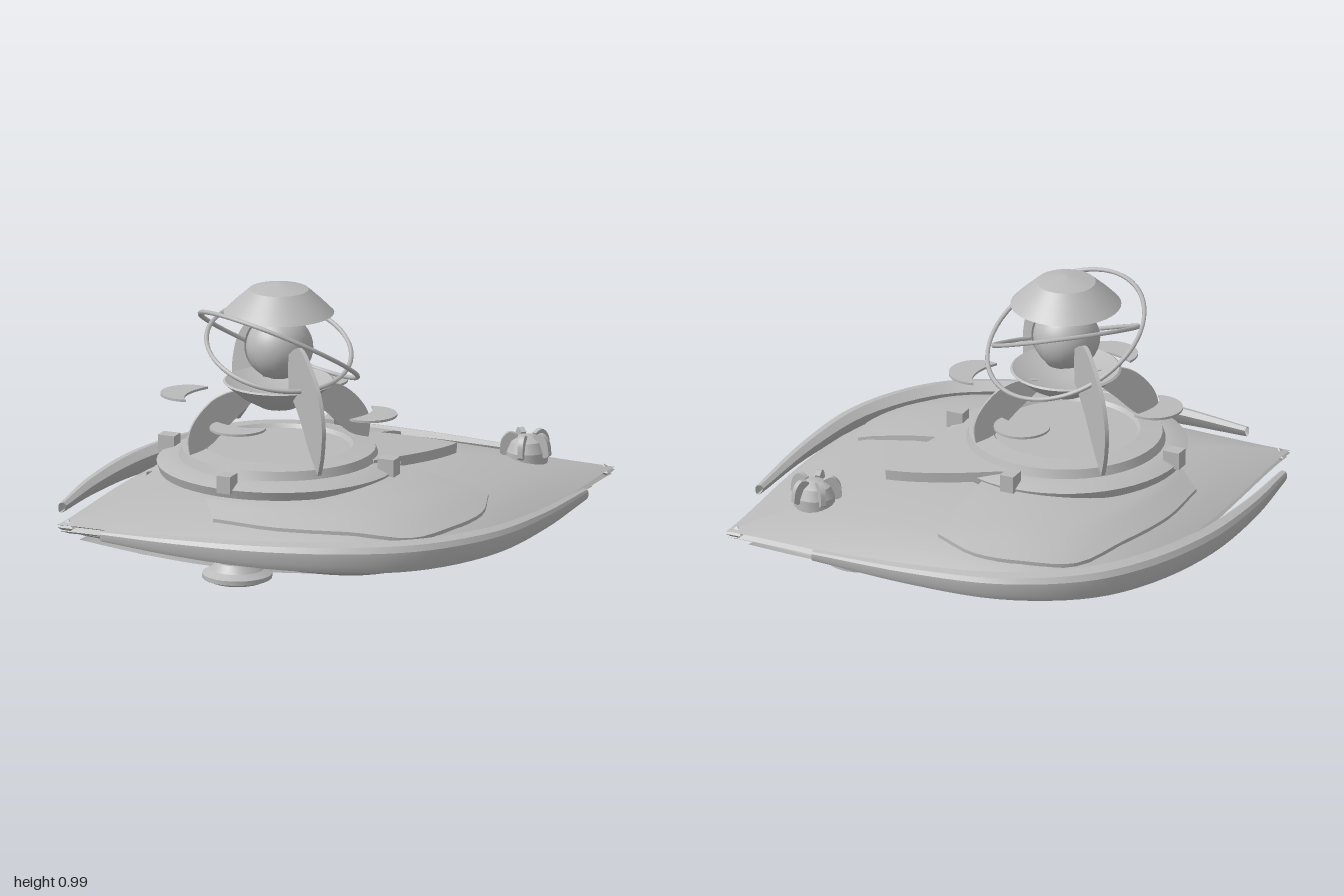
import * as THREE from 'three';
import { toCreasedNormals } from 'three/addons/utils/BufferGeometryUtils.js';

const V = (x, y, z) => new THREE.Vector3(x, y, z);
const TX = -0.205; // tower axis

// Skin a list of equally long point rows
function skin(rows) {
  const n = rows[0].length, idx = [];
  for (let i = 0; i < rows.length - 1; i++)
    for (let j = 0; j < n - 1; j++) {
      const a = i * n + j, b = a + n;
      idx.push(a, b, a + 1, a + 1, b, b + 1);
    }
  const g = new THREE.BufferGeometry().setFromPoints(rows.flat());
  g.setIndex(idx);
  return toCreasedNormals(g, 0.5);
}

// Leaf outline: half width at x for length 1
const halfWidth = (x, w) => w * Math.pow(Math.max(0, Math.cos(x * Math.PI / 2)), 1.1);

// Leaf shaped loft; profile rows are [scale, y, extra height at the tips]
function leaf(profile, width, length = 1, steps = 64) {
  return skin(profile.map(([s, y, tip = 0]) => {
    const row = [];
    for (let i = 0; i <= steps; i++) {
      const a = i / steps * Math.PI * 2, x = Math.cos(a);
      row.push(V(s * x * length, y + tip * x * x, s * halfWidth(x, width) * (Math.sin(a) < 0 ? -1 : 1)));
    }
    return row;
  }));
}

const deckProfile = [[0.001, 0.36, 0], [0.2, 0.36, 0], [0.5, 0.345, -0.015], [0.75, 0.318, -0.028], [0.9, 0.28, -0.02], [1, 0.235, 0]];

// Deck height at a point
function deckY(x, z) {
  let lo = Math.abs(x), hi = 1.2;
  for (let i = 0; i < 20; i++) {
    const m = (lo + hi) / 2;
    if (m * halfWidth(x / m, 0.74) < Math.abs(z)) lo = m; else hi = m;
  }
  const q = (x / Math.max(lo, 0.001)) ** 2;
  for (let i = 1; i < deckProfile.length; i++) {
    const [s0, y0, t0] = deckProfile[i - 1], [s1, y1, t1] = deckProfile[i];
    if (lo <= s1) return THREE.MathUtils.lerp(y0 + t0 * q, y1 + t1 * q, Math.max(0, (lo - s0) / (s1 - s0)));
  }
  return 0.235;
}

function lathe(points, segs = 40) {
  return toCreasedNormals(new THREE.LatheGeometry(points.map(p => new THREE.Vector2(...p)), segs), 0.4);
}

function extrude(shape, depth) {
  const g = new THREE.ExtrudeGeometry(shape, { depth, bevelEnabled: false, curveSegments: 10 });
  return g.translate(0, 0, -depth / 2);
}

// Flat shape with smooth outer and inner edges
function bladeShape(outer, inner) {
  const s = new THREE.Shape();
  s.moveTo(...outer[0]);
  s.splineThru(outer.slice(1).map(p => new THREE.Vector2(...p)));
  s.splineThru(inner.map(p => new THREE.Vector2(...p)));
  s.closePath();
  return s;
}

export function createModel() {
  const model = new THREE.Group();
  const grey = new THREE.MeshStandardMaterial({ color: 0xbababa, side: THREE.DoubleSide });
  grey.name = 'light grey';
  const add = (name, geo, x = 0, y = 0, z = 0, parent = model) => {
    const m = new THREE.Mesh(geo, grey);
    m.name = name;
    m.position.set(x, y, z);
    parent.add(m);
    return m;
  };

  // Hull
  add('deck', leaf(deckProfile, 0.74));
  add('rim', leaf([[1, 0.235], [0.965, 0.225], [0.99, 0.212], [0.955, 0.2], [0.97, 0.185, 0.02]], 0.74));
  add('lowerHull', leaf([[0.97, 0.185, 0.02], [0.98, 0.17, 0.03], [0.75, 0.117, 0.01], [0.48, 0.055, 0.012], [0.25, 0.054], [0.001, 0.052]], 0.745, 0.96));
  add('keel', leaf([[0.96, 0.07, 0.12], [1, 0.045, 0.13], [0.75, 0.034, 0.066], [0.5, 0.026, 0.035], [0.25, 0.017, 0.012], [0.001, 0.008]], 0.27, 0.92));

  // Landing pads
  for (const [x, z] of [[0.52, 0], [-0.45, 0.25], [-0.45, -0.25]])
    add('landingPad', lathe([[0, 0.053], [0.09, 0.053], [0.118, 0.065], [0.118, 0.08], [0.09, 0.095], [0.07, 0.12]], 24), x, 0, z);

  for (const side of [1, -1]) {
    // Outer crescent fins running beside the hull
    const path = new THREE.CatmullRomCurve3([[-0.91, 0.185], [-0.72, 0.40], [-0.48, 0.61], [-0.22, 0.745], [0, 0.785],
      [0.27, 0.715], [0.52, 0.535], [0.785, 0.275]].map(([x, z]) => V(x, 0, z * side)));
    const rows = [];
    for (let i = 0; i <= 36; i++) {
      const t = i / 36, p = path.getPoint(t), d = path.getTangent(t);
      const k = 0.35 + 0.65 * Math.sin(Math.PI * t), nx = -d.z * side, nz = d.x * side;
      const row = [];
      for (const [o, y] of [[-1, 0.03], [-0.2, 0.055], [0.7, 0.045], [1, 0.025], [1, -0.02], [0.75, -0.045], [0, -0.045], [-0.6, -0.01], [-1, 0.03]])
        row.push(V(p.x + nx * o * 0.042 * k, 0.235 + y * k, p.z + nz * o * 0.042 * k));
      rows.push(row);
    }
    add('crescentFin', skin(rows));

    // Raised deck plates hugging the hull curve, thinning outwards
    const edge = new THREE.CatmullRomCurve3([[0.39, 0.41], [0.31, 0.555], [0.17, 0.65], [0, 0.7], [-0.2, 0.62], [-0.4, 0.485], [-0.56, 0.31]]
      .map(([x, z]) => V(x, 0, z)));
    const plate = [];
    for (let j = 0; j <= 24; j++) {
      const e = edge.getPoint(j / 24), a = 0.45 + j / 24 * 2.2;
      const c = V(TX + 0.38 * Math.cos(a), 0, 0.38 * Math.sin(a));
      const row = [];
      for (let i = 0; i <= 6; i++) {
        const p = c.clone().lerp(e, i / 6);
        row.push(V(p.x, deckY(p.x, p.z) + 0.024 - 0.012 * i / 6, p.z * side));
      }
      row.push(V(e.x, deckY(e.x, e.z) - 0.005, e.z * side));
      plate.push(row);
    }
    plate.unshift(plate[0].map(p => V(p.x, p.y - 0.035, p.z)));
    add('deckPlate', skin(plate));
  }
  for (const end of [1, -1])
    add('tipCap', new THREE.OctahedronGeometry(0.04), end * 0.96, 0.226, 0).scale.y = 0.6;

  // Pointed plate ahead of the tower
  const dart = new THREE.Shape();
  dart.moveTo(0.05, -0.22);
  dart.lineTo(0.14, -0.18);
  dart.quadraticCurveTo(0.33, -0.1, 0.435, 0);
  dart.quadraticCurveTo(0.33, 0.1, 0.14, 0.18);
  dart.lineTo(0.05, 0.22);
  const dartGeo = extrude(dart, 0.035).rotateX(-Math.PI / 2);
  dartGeo.rotateZ(-0.09);
  add('pointedPlate', dartGeo, 0, 0.398, 0);

  // Tower base
  const tower = new THREE.Group();
  tower.name = 'tower';
  tower.position.x = TX;
  model.add(tower);
  add('baseRing', lathe([[0.33, 0.335], [0.4, 0.35], [0.41, 0.38], [0.36, 0.398], [0.335, 0.4], [0.325, 0.43], [0.25, 0.438], [0.24, 0.425], [0, 0.425]], 48), 0, 0, 0, tower);
  for (const sx of [1, -1])
    for (const sz of [1, -1]) {
      const block = add('ringBlock', new THREE.BoxGeometry(0.06, 0.06, 0.05), sx * 0.29, 0.4, sz * 0.27, tower);
      block.rotation.y = Math.atan2(-sz, sx);
      // Floating crescent leaves
      const c = new THREE.Shape();
      c.absarc(0, 0, 0.095, -1.9, 1.9, false);
      c.quadraticCurveTo(0.03, 0.02, -0.03, -0.09);
      const leafMesh = add('floatingLeaf', extrude(c, 0.008).rotateX(-Math.PI / 2), sx * 0.235, 0.575, sz * 0.23, tower);
      leafMesh.rotation.y = Math.atan2(-sz, sx);
    }

  // Curved blades: two large along z, two small along x
  const large = bladeShape([[0.1, 0.77], [0.2, 0.82], [0.3, 0.775], [0.38, 0.7], [0.42, 0.6], [0.41, 0.5], [0.38, 0.425]],
    [[0.3, 0.49], [0.2, 0.59], [0.11, 0.65]]);
  const small = bladeShape([[0.1, 0.63], [0.17, 0.635], [0.24, 0.61], [0.3, 0.55], [0.325, 0.49], [0.32, 0.43]],
    [[0.25, 0.455], [0.17, 0.53], [0.1, 0.59]]);
  for (const s of [1, -1]) {
    add('largeBlade', extrude(large, 0.014), 0, 0, 0, tower).rotation.y = -s * Math.PI / 2;
    add('smallBlade', extrude(small, 0.01), 0, 0, 0, tower).rotation.y = s > 0 ? 0 : Math.PI;
  }

  // Bowl, core and cap
  add('bowl', lathe([[0, 0.562], [0.06, 0.568], [0.125, 0.604], [0.187, 0.655], [0.18, 0.66], [0.12, 0.63], [0, 0.615]]), 0, 0, 0, tower);
  add('core', new THREE.SphereGeometry(0.11, 32, 20), 0, 0.775, 0, tower);
  for (let i = 0; i < 4; i++) {
    const panel = add('corePanel', new THREE.SphereGeometry(0.116, 8, 10, -0.35, 0.7, 0.7, 1.75), 0, 0.775, 0, tower);
    panel.rotation.y = i * Math.PI / 2 + Math.PI / 4;
  }
  add('cap', lathe([[0, 0.9], [0.17, 0.892], [0.186, 0.894], [0.15, 0.93], [0.1, 0.975], [0, 0.999]]), 0, 0, 0, tower);

  // Tilted orbit rings
  const orbit = (name, r, normal, y) => {
    const ring = add(name, new THREE.TorusGeometry(r, 0.008, 6, 64), 0, y, 0, tower);
    ring.quaternion.setFromUnitVectors(V(0, 0, 1), normal.normalize());
  };
  orbit('innerOrbitRing', 0.245, V(0, 1, 0.43), 0.775);
  orbit('outerOrbitRing', 0.285, V(0.55, 1, -0.22), 0.78);

  // Small ribbed dome near the tip
  const dome = new THREE.Group();
  dome.name = 'smallDome';
  dome.position.set(0.685, 0.29, 0);
  model.add(dome);
  add('domeBody', lathe([[0.07, -0.01], [0.07, 0.035], [0.055, 0.07], [0.03, 0.085], [0, 0.09]], 20), 0, 0, 0, dome);
  const rib = bladeShape([[0.03, 0.09], [0.06, 0.1], [0.085, 0.075], [0.092, 0.03]], [[0.075, 0.02], [0.05, 0.03]]);
  for (let i = 0; i < 5; i++)
    add('domeRib', extrude(rib, 0.018), 0, 0, 0, dome).rotation.y = i * Math.PI * 2 / 5 + Math.PI / 2;

  return model;
}
